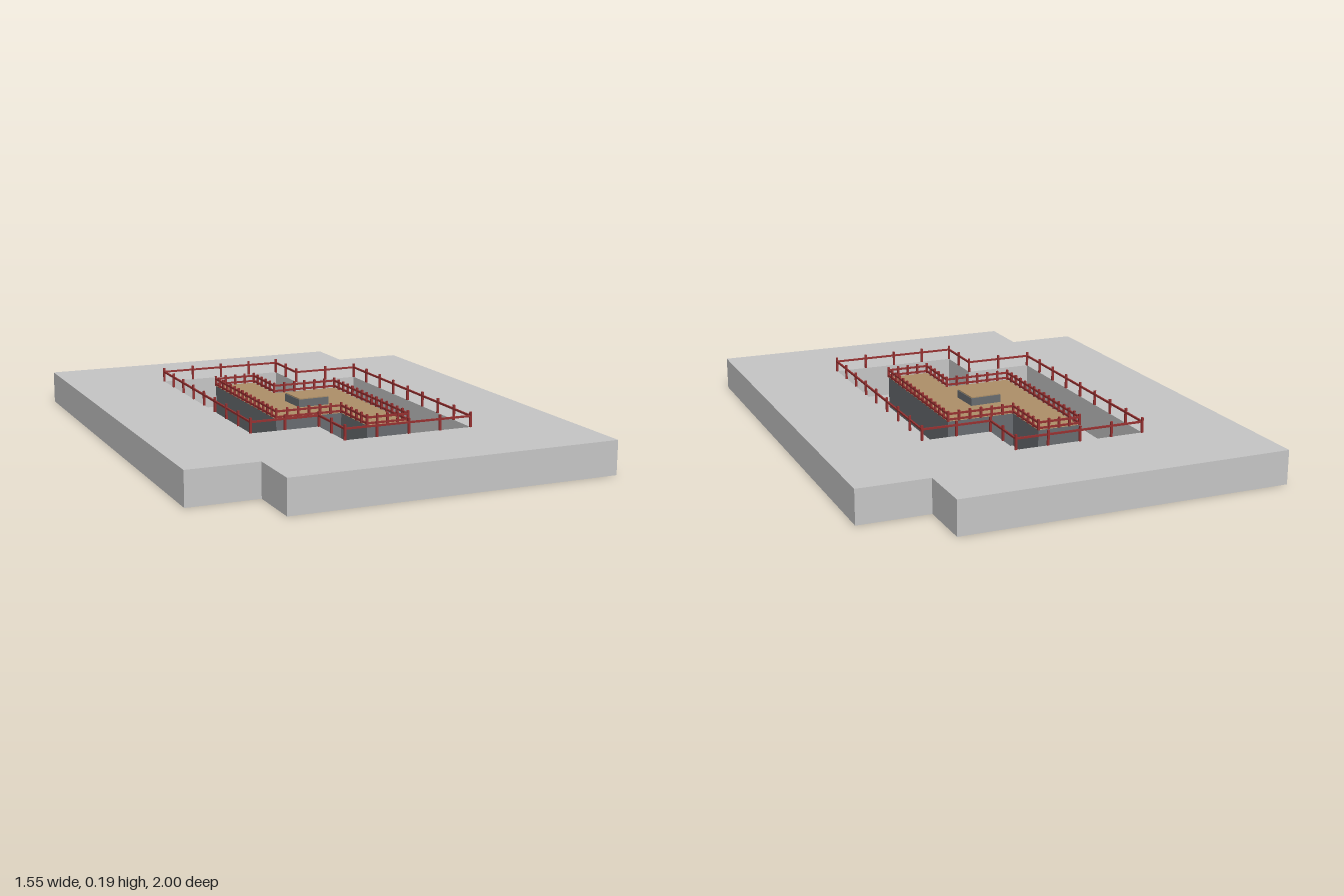
import * as THREE from 'three';

const mat = (name, color, side = THREE.FrontSide) => {
  const m = new THREE.MeshStandardMaterial({ color, side });
  m.name = name;
  return m;
};

// Rectangle with two opposite corners notched, clockwise seen from above, as [x, z]
function outline(w, l, nx, nz) {
  const half = [[-w, -l], [nx, -l], [nx, -nz], [w, -nz]];
  return [...half, ...half.map(([x, z]) => [-x, -z])];
}

const toVectors = (pts) => pts.map(([x, z]) => new THREE.Vector2(x, -z));

// Flat upward-facing plate, optionally with a hole
function plate(pts, y, hole) {
  const shape = new THREE.Shape(toVectors(pts));
  if (hole) shape.holes.push(new THREE.Path(toVectors(hole)));
  return new THREE.ShapeGeometry(shape).rotateX(-Math.PI / 2).translate(0, y, 0);
}

// Vertical walls following an outline
function walls(pts, y0, y1) {
  const v = [];
  pts.forEach(([ax, az], i) => {
    const [bx, bz] = pts[(i + 1) % pts.length];
    const a0 = new THREE.Vector3(ax, y0, az), a1 = new THREE.Vector3(ax, y1, az);
    const b0 = new THREE.Vector3(bx, y0, bz), b1 = new THREE.Vector3(bx, y1, bz);
    v.push(a0, a1, b1, a0, b1, b0);
  });
  const g = new THREE.BufferGeometry().setFromPoints(v);
  g.computeVertexNormals();
  return g;
}

export function createModel() {
  const model = new THREE.Group();
  const stone = mat('pale stone', 0xc6c6c6, THREE.DoubleSide);
  const slate = mat('dark slate', 0x686c70, THREE.DoubleSide);
  const earth = mat('tan earth', 0xae9069);
  const red = mat('red rail', 0x963030);

  const add = (parent, name, geometry, material, x = 0, y = 0, z = 0) => {
    const m = new THREE.Mesh(geometry, material);
    m.name = name;
    m.position.set(x, y, z);
    parent.add(m);
    return m;
  };

  const TOP = 0.13;
  const ground = outline(0.775, 1, 0.5, 0.777);
  const pit = outline(0.39, 0.62, 0.12, 0.392);
  const island = outline(0.22, 0.447, -0.05, 0.22);

  // Hollow ground slab with a sunken pit
  add(model, 'groundTop', plate(ground, TOP, pit), stone);
  add(model, 'groundWalls', walls(ground, 0, TOP), stone);
  add(model, 'pitWalls', walls([...pit].reverse(), 0, TOP), stone);
  add(model, 'pitFloor', plate(pit, 0), stone);

  // Island rising from the pit
  add(model, 'islandWalls', walls(island, 0, TOP), slate);
  add(model, 'islandTop', plate(island, TOP), earth);

  // Railing: posts at even steps on each edge, with horizontal rails
  function railing(name, pts, step, postTop, railHeights, t) {
    const group = new THREE.Group();
    group.name = name;
    const post = new THREE.BoxGeometry(t, postTop - TOP, t);
    pts.forEach(([ax, az], i) => {
      const [bx, bz] = pts[(i + 1) % pts.length];
      const len = Math.hypot(bx - ax, bz - az);
      const n = Math.max(1, Math.round(len / step));
      for (let k = 0; k < n; k++) {
        const f = k / n;
        add(group, 'post', post, red, ax + (bx - ax) * f, (TOP + postTop) / 2, az + (bz - az) * f);
      }
      const rail = new THREE.BoxGeometry(Math.abs(bx - ax) + t * 0.8, t * 0.9, Math.abs(bz - az) + t * 0.8);
      for (const y of railHeights) add(group, 'rail', rail, red, (ax + bx) / 2, y, (az + bz) / 2);
    });
    model.add(group);
  }
  railing('pitRailing', pit, 0.127, 0.188, [0.172], 0.008);
  railing('islandRailing', island, 0.045, 0.172, [0.138, 0.16], 0.008);

  // Slightly turned hatch in the middle of the island
  const hatch = new THREE.Group();
  hatch.name = 'hatch';
  hatch.rotation.y = 0.05;
  add(hatch, 'hatchBox', new THREE.BoxGeometry(0.128, 0.03, 0.128), slate, 0, TOP + 0.015, 0);
  add(hatch, 'hatchLid', new THREE.BoxGeometry(0.122, 0.004, 0.122), earth, 0, TOP + 0.032, 0);
  model.add(hatch);

  return model;
}
